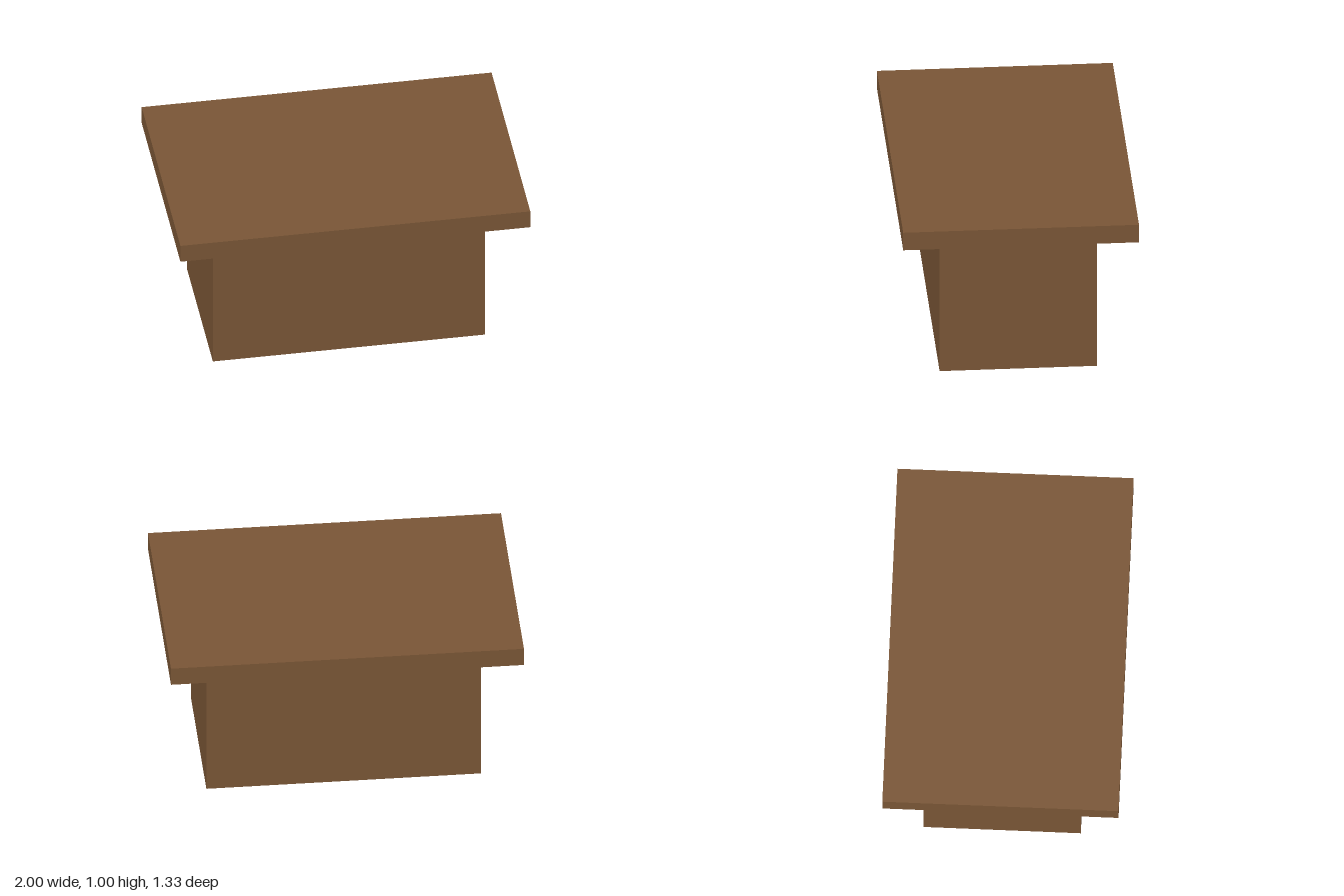
import * as THREE from 'three';

export function createModel() {
  const model = new THREE.Group();
  model.name = 'table';
  const wood = new THREE.MeshStandardMaterial({ color: 0x7a5636 });
  wood.name = 'brown wood';
  wood.side = THREE.DoubleSide;

  const u = 1 / 9; // the design sits on a grid of ninths
  const width = 14 * u, depth = 8 * u, height = 8 * u;

  // Overhanging slab on top
  const top = new THREE.Mesh(new THREE.BoxGeometry(18 * u, u, 12 * u), wood);
  top.name = 'tableTop';
  top.position.y = height + u / 2;
  model.add(top);

  // Hollow base: four thin walls, open underneath
  const base = new THREE.Group();
  base.name = 'base';
  ['frontWall', 'leftWall', 'backWall', 'rightWall'].forEach((name, i) => {
    const side = i % 2 === 1;
    const wall = new THREE.Mesh(new THREE.PlaneGeometry(side ? depth : width, height), wood);
    const angle = i * Math.PI / 2;
    wall.name = name;
    wall.rotation.y = angle;
    wall.position.set(Math.sin(angle) * width / 2, height / 2, Math.cos(angle) * depth / 2);
    base.add(wall);
  });
  model.add(base);
  return model;
}
